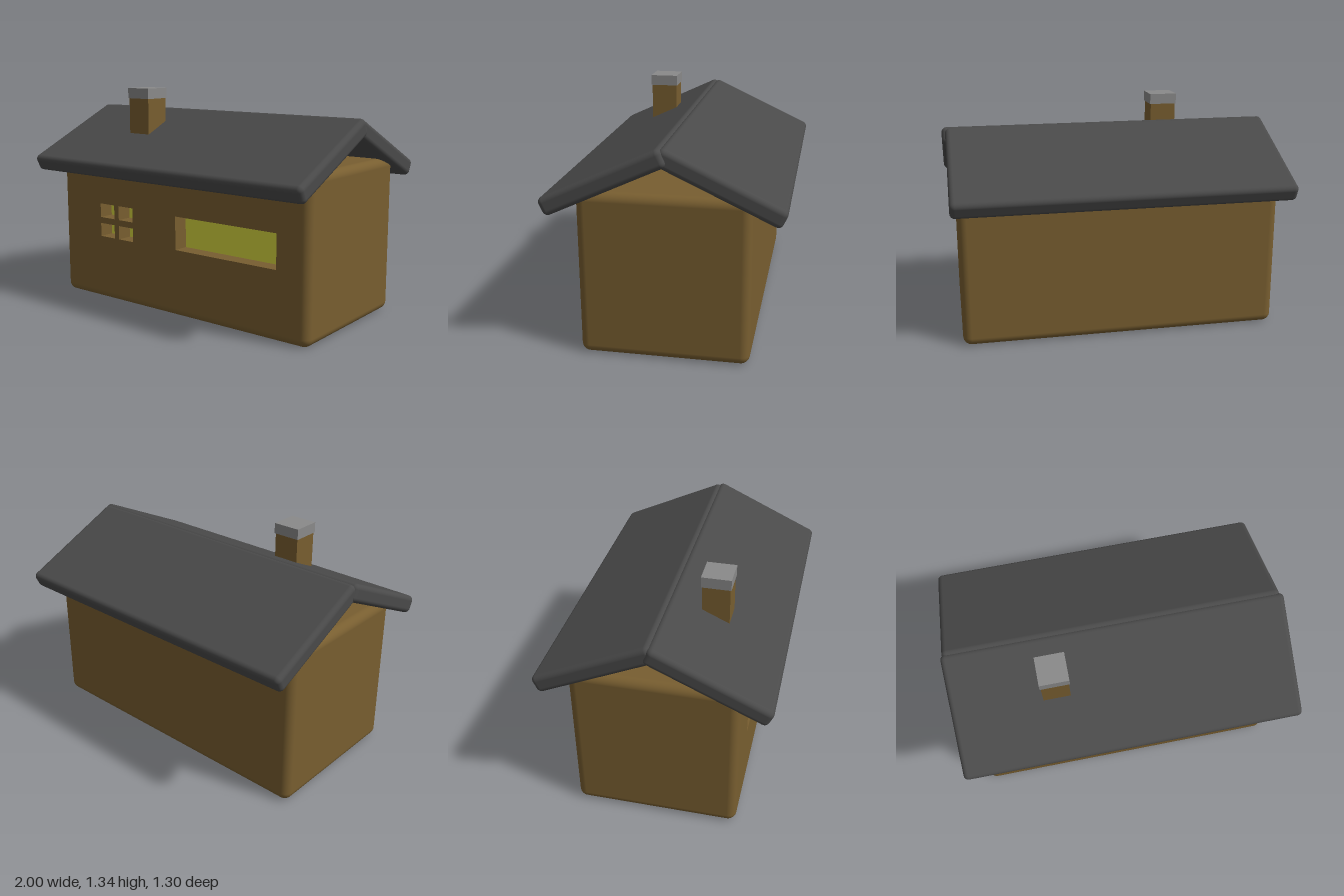
import * as THREE from 'three';
import { RoundedBoxGeometry } from 'three/addons/geometries/RoundedBoxGeometry.js';

const paint = (name, color) => Object.assign(new THREE.MeshStandardMaterial({ color }), { name });

export function createModel() {
  const house = new THREE.Group();
  house.name = 'house';
  const wall = paint('brown wall', 0x785e30);
  const slate = paint('dark grey roof', 0x4a4a4a);
  const glow = paint('yellow window', 0xd6d63e);
  const stone = paint('grey cap', 0x8a8a8a);

  const add = (name, geometry, material, x, y, z) => {
    const mesh = new THREE.Mesh(geometry, material);
    mesh.name = name;
    mesh.position.set(x, y, z);
    house.add(mesh);
    return mesh;
  };

  // Walls: a rounded box whose flat front is left open for the window panel
  const W = 1.88, H = 0.94, D = 0.94, R = 0.05, RECESS = 0.095;
  const shell = new RoundedBoxGeometry(W, H, D, 5, R);
  const pos = shell.attributes.position, nor = shell.attributes.normal;
  const keptPos = [], keptNor = [];
  for (let i = 0; i < pos.count; i += 3) {
    const flatFront = [0, 1, 2].every((k) => pos.getZ(i + k) > D / 2 - 1e-4);
    if (flatFront) continue;
    for (let k = i; k < i + 3; k++) {
      keptPos.push(pos.getX(k), pos.getY(k), pos.getZ(k));
      keptNor.push(nor.getX(k), nor.getY(k), nor.getZ(k));
    }
  }
  const body = new THREE.BufferGeometry();
  body.setAttribute('position', new THREE.Float32BufferAttribute(keptPos, 3));
  body.setAttribute('normal', new THREE.Float32BufferAttribute(keptNor, 3));
  add('walls', body, wall, 0, H / 2, 0);

  // Window openings as [left, bottom, right, top]
  const openings = [[0.02, 0.41, 0.735, 0.612]];
  for (const [x0, x1] of [[-0.603, -0.483], [-0.445, -0.325]]) {
    for (const [y0, y1] of [[0.407, 0.492], [0.53, 0.618]]) openings.push([x0, y0, x1, y1]);
  }
  const rectangle = (target, [x0, y0, x1, y1]) =>
    target.moveTo(x0, y0).lineTo(x1, y0).lineTo(x1, y1).lineTo(x0, y1).closePath();

  // Front panel with recessed openings
  const front = rectangle(new THREE.Shape(), [R - W / 2, R, W / 2 - R, H - R]);
  for (const o of openings) front.holes.push(rectangle(new THREE.Path(), o));
  add('frontWall', new THREE.ExtrudeGeometry(front, { depth: RECESS, bevelEnabled: false }),
    wall, 0, 0, D / 2 - RECESS);

  // Lit panes at the back of each opening
  openings.forEach(([x0, y0, x1, y1], i) => {
    add(i ? `smallPane${i}` : 'wideWindow', new THREE.BoxGeometry(x1 - x0 + 0.01, y1 - y0 + 0.01, 0.008),
      glow, (x0 + x1) / 2, (y0 + y1) / 2, D / 2 - RECESS - 0.004);
  });

  // Two rounded roof slabs; the back one is slightly shorter
  const pitch = THREE.MathUtils.degToRad(25);
  for (const [name, side, length, x] of [['frontRoof', 1, 2, 0], ['backRoof', -1, 1.97, -0.005]]) {
    const slab = add(name, new RoundedBoxGeometry(length, 0.105, 0.727, 4, 0.03),
      slate, x, 1.009, side * 0.31);
    slab.rotation.x = side * pitch;
  }

  // Chimney on the front slope
  add('chimney', new THREE.BoxGeometry(0.157, 0.29, 0.157), wall, -0.393, 1.135, 0.247);
  add('chimneyCap', new THREE.BoxGeometry(0.168, 0.063, 0.168), stone, -0.393, 1.308, 0.247);

  return house;
}
